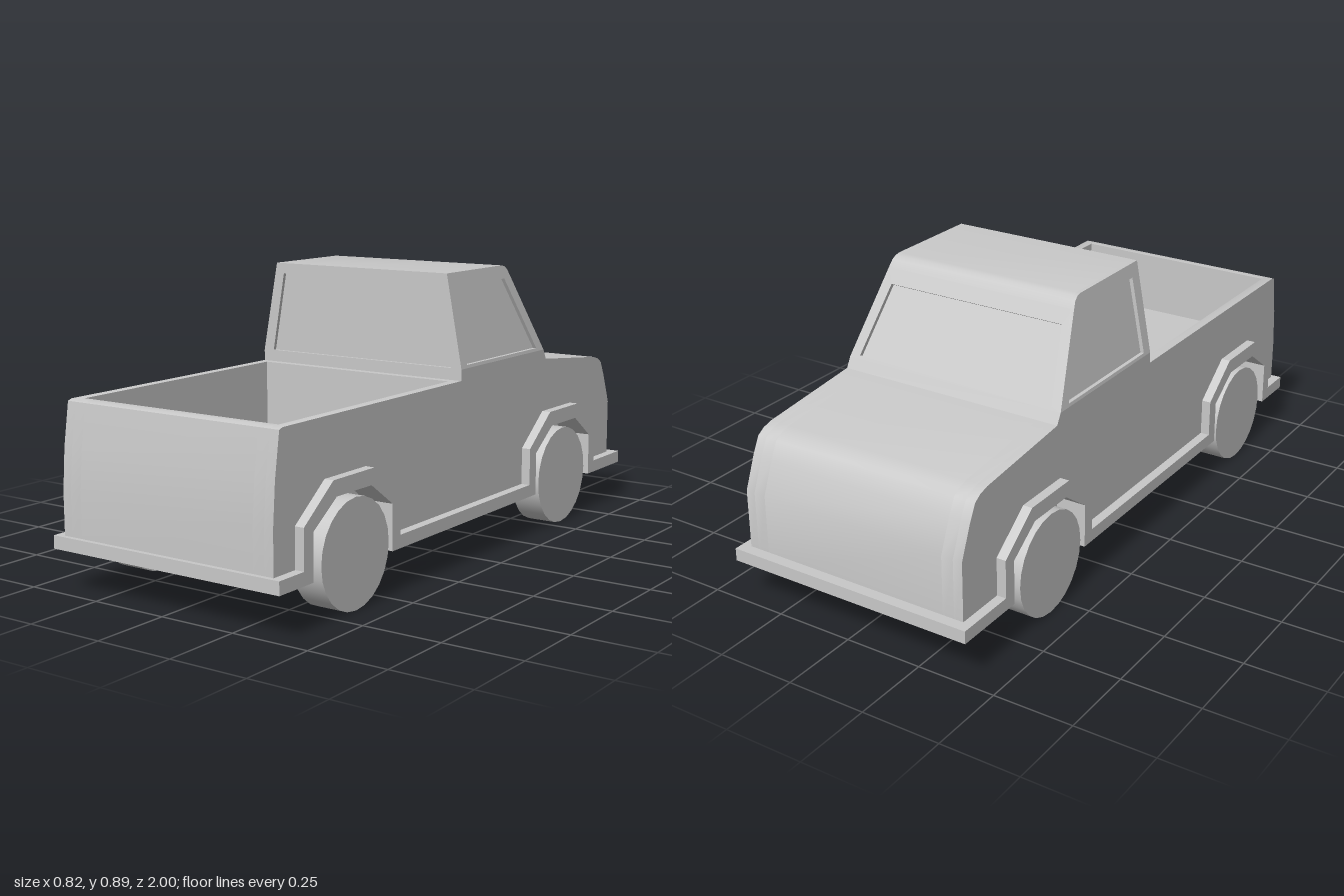
import * as THREE from 'three';
import { toCreasedNormals } from 'three/addons/utils/BufferGeometryUtils.js';

const toShape = (pts) => new THREE.Shape(pts.map(([a, b]) => new THREE.Vector2(a, b)));
const toHole = (pts) => new THREE.Path(pts.map(([a, b]) => new THREE.Vector2(a, b)));

// Extrude a (z, y) side profile across x0..x1
function slab(shape, x0, x1) {
  return new THREE.ExtrudeGeometry(shape, { depth: x1 - x0, bevelEnabled: false })
    .rotateY(-Math.PI / 2).translate(x1, 0, 0);
}

// Lean the cab sides inwards above the belt line
const BELT = 0.6, ROOF = 0.89, LEAN = 0.055 / (ROOF - BELT);
function leanIn(geo) {
  const p = geo.attributes.position;
  for (let i = 0; i < p.count; i++) {
    const x = p.getX(i);
    p.setX(i, x - Math.sign(x) * LEAN * (p.getY(i) - BELT));
  }
  geo.computeVertexNormals();
  return geo;
}

// Wheel arch outline, listed along +z
const arch = (c, base, half, shoulder, topHalf, top) => [
  [c - half, base], [c - half, shoulder], [c - topHalf, top],
  [c + topHalf, top], [c + half, shoulder], [c + half, base],
];

export function createModel() {
  const truck = new THREE.Group();
  truck.name = 'pickupTruck';
  const paint = new THREE.MeshStandardMaterial({ color: 0xc8c8c8 });
  paint.name = 'lightGrey';

  const add = (name, geo, parent = truck) => {
    const mesh = new THREE.Mesh(geo, paint);
    mesh.name = name;
    parent.add(mesh);
    return mesh;
  };
  const smooth = (geo) => toCreasedNormals(geo, 0.6);

  const floorY = 0.13, wellX = 0.312, bedX = 0.35, sideX = 0.38, trimX = 0.41;
  const archZ = [-0.57, 0.66];
  const wells = archZ.flatMap((c) => arch(c, floorY, 0.19, 0.27, 0.083, 0.345));

  // Body profile from tail over the cab base to the nose
  const tail = [[0.985, floorY], [0.985, 0.3], [0.975, 0.43], [0.955, 0.56], [0.94, 0.565]];
  const bed = [[0.918, 0.565], [0.918, 0.355], [0.077, 0.355], [0.077, 0.565]];
  const nose = [
    [0.05, 0.565], [0.05, BELT], [-0.472, BELT], [-0.49, 0.567], [-0.842, 0.53],
    [-0.875, 0.521], [-0.9, 0.505], [-0.925, 0.455], [-0.965, 0.355], [-0.965, floorY],
  ];

  // Body: solid centre with the bed cut out, inner sides, outer sides
  add('bodyCentre', smooth(slab(toShape([...tail, ...bed, ...nose]), -wellX, wellX)));
  const innerSide = toShape([...tail, ...bed, ...nose, ...wells]);
  const outerSide = toShape([...tail, ...nose, ...wells]);

  // Sill and arch trim
  const arches = archZ.flatMap((c) => arch(c, 0.17, 0.232, 0.29, 0.098, 0.393)).reverse();
  const trim = toShape([[-1, floorY], ...wells, [1, floorY], [1, 0.17], ...arches, [-1, 0.17]]);

  // Cab side frame with window opening
  const cabTop = [[-0.28, ROOF], [-0.298, 0.886], [-0.312, 0.876], [-0.325, 0.855]];
  const frame = 0.012;
  const cabSide = toShape([[0.05, BELT], [0.05, ROOF], ...cabTop, [-0.472, BELT]]);
  cabSide.holes.push(toHole([[0.013, 0.61], [0.01, 0.848], [-0.286, 0.848], [-0.425, 0.61]]));

  for (const [side, s] of [['left', 1], ['right', -1]]) {
    const span = (a, b) => (s > 0 ? [a, b] : [-b, -a]);
    add(side + 'InnerBody', smooth(slab(innerSide, ...span(wellX, bedX))));
    add(side + 'OuterBody', smooth(slab(outerSide, ...span(bedX, sideX))));
    add(side + 'ArchTrim', slab(trim, ...span(sideX, trimX)));
    add(side + 'CabFrame', smooth(leanIn(slab(cabSide, ...span(sideX - frame, sideX)))));

    // Wheels
    for (const [end, z] of [['Front', -0.565], ['Rear', 0.65]]) {
      const wheel = new THREE.CylinderGeometry(0.163, 0.163, 0.098, 24).rotateZ(Math.PI / 2);
      add(side + end + 'Wheel', wheel).position.set(s * 0.359, 0.163, z);
    }
  }

  // Bumper bars closing the trim at both ends
  for (const [name, z0, z1] of [['noseBumper', -1, -0.96], ['tailBumper', 0.98, 1]]) {
    add(name, new THREE.BoxGeometry(2 * sideX, 0.04, z1 - z0))
      .position.set(0, floorY + 0.02, (z0 + z1) / 2);
  }

  // Cab core: roof and recessed glass surfaces
  const core = toShape([
    [0.038, BELT], [0.038, ROOF], ...cabTop, [-0.3146, 0.849], [-0.4616, 0.594],
  ]);
  add('cabRoofAndGlass', smooth(leanIn(slab(core, -sideX + frame, sideX - frame))));

  // Bed-side window frame
  const backFrame = toShape([[-0.38, BELT], [0.38, BELT], [0.325, ROOF], [-0.325, ROOF]]);
  backFrame.holes.push(toHole([[-0.342, 0.602], [-0.297, 0.857], [0.297, 0.857], [0.342, 0.602]]));
  add('backWindowFrame', new THREE.ExtrudeGeometry(backFrame, { depth: frame, bevelEnabled: false }))
    .position.z = 0.038;

  // Sloping windscreen frame
  const slope = Math.hypot(0.147, 0.255);
  const screen = toShape([[-0.38, 0], [0.38, 0], [0.3316, slope], [-0.3316, slope]]);
  screen.holes.push(toHole([[-0.345, 0.01], [-0.305, 0.245], [0.305, 0.245], [0.345, 0.01]]));
  const screenFrame = add('windscreenFrame',
    new THREE.ExtrudeGeometry(screen, { depth: frame, bevelEnabled: false }));
  screenFrame.position.set(0, BELT, -0.472);
  screenFrame.rotation.x = Math.atan2(0.147, 0.255);

  return truck;
}
